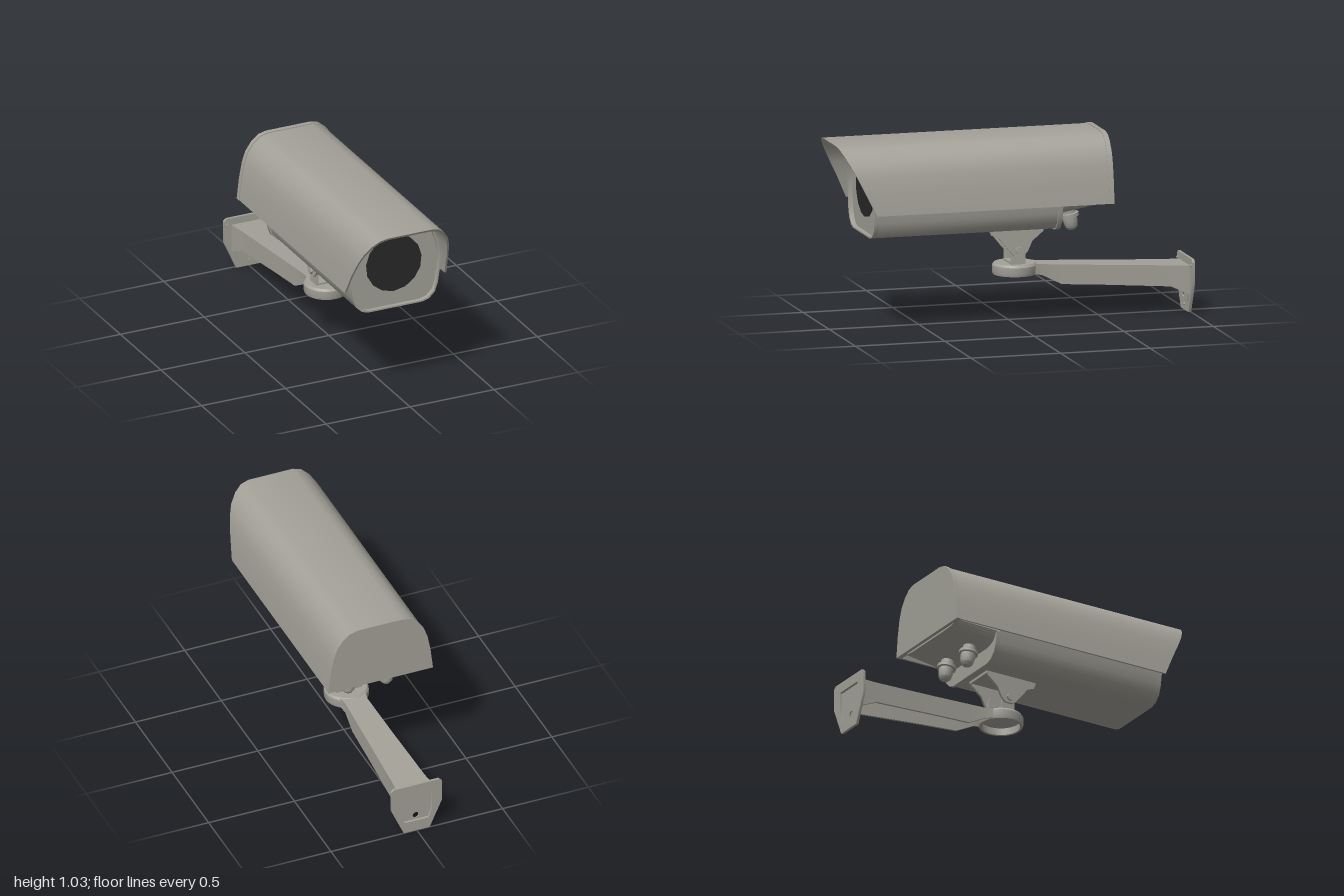
import * as THREE from 'three';
import { toCreasedNormals } from 'three/addons/utils/BufferGeometryUtils.js';

const grey = new THREE.MeshStandardMaterial({ color: 0xa3a198 });
grey.name = 'warm grey';
const dark = new THREE.MeshStandardMaterial({ color: 0x292929 });
dark.name = 'dark glass';

// Half outlines (x, y), from the bottom up; mirrored to make closed shapes
const HOOD = [[0.302, 0.66], [0.288, 0.78], [0.271, 0.87], [0.25, 0.93], [0.215, 0.98], [0.175, 1.012], [0.13, 1.023]];
const BODY = [[0.16, 0.515], [0.2, 0.526], [0.235, 0.56], [0.252, 0.61], [0.26, 0.66], [0.275, 0.76],
  [0.25, 0.87], [0.22, 0.945], [0.19, 0.98], [0.15, 0.99]];

const mirrored = (half) => [...half, ...half.map(([x, y]) => [-x, y]).reverse()];
const scaled = (pts, s, cy) => pts.map(([x, y]) => [x * s, cy + (y - cy) * s]);
const toShape = (pts) => new THREE.Shape(pts.map(([x, y]) => new THREE.Vector2(x, y)));

function reshape(geo, rule) {
  const p = geo.attributes.position;
  const v = new THREE.Vector3();
  for (let i = 0; i < p.count; i++) {
    rule(v.fromBufferAttribute(p, i));
    p.setXYZ(i, v.x, v.y, v.z);
  }
  return geo;
}

// Extrude an (x, y) shape between two z values
function alongZ(shape, z0, z1) {
  return new THREE.ExtrudeGeometry(shape, { depth: z1 - z0, bevelEnabled: false, curveSegments: 6 }).translate(0, 0, z0);
}

// Extrude a (z, y) shape across x, centred on x
function alongX(shape, x, width) {
  return new THREE.ExtrudeGeometry(shape, { depth: width, bevelEnabled: false, curveSegments: 8 })
    .rotateY(-Math.PI / 2).translate(x + width / 2, 0, 0);
}

function hole(x, y, r) {
  const path = new THREE.Path();
  path.absarc(x, y, r, 0, Math.PI * 2, true);
  return path;
}

// Channel open underneath, lofted through [z, top, bottom, halfWidth]
function channel(sections, t) {
  const rings = sections.map(([z, top, bot, w]) => [
    [w, bot, z], [w, top, z], [-w, top, z], [-w, bot, z],
    [-w + t, bot, z], [-w + t, top - t, z], [w - t, top - t, z], [w - t, bot, z],
  ]);
  // front end, then the walls
  const index = [0, 1, 7, 1, 6, 7, 1, 2, 6, 2, 5, 6, 2, 3, 5, 3, 4, 5];
  for (let i = 0; i < rings.length - 1; i++) {
    for (let j = 0; j < 8; j++) {
      const a = i * 8 + j, b = i * 8 + (j + 1) % 8;
      index.push(a, a + 8, b, b, a + 8, b + 8);
    }
  }
  const geo = new THREE.BufferGeometry();
  geo.setAttribute('position', new THREE.Float32BufferAttribute(rings.flat(2), 3));
  geo.setIndex(index);
  return geo;
}

export function createModel() {
  const model = new THREE.Group();
  model.name = 'securityCamera';
  function add(name, geo, mat = grey, crease = 0.6) {
    const mesh = new THREE.Mesh(toCreasedNormals(geo, crease), mat);
    mesh.name = name;
    model.add(mesh);
    return mesh;
  }

  // Sun hood: thin arch with a raked front edge
  const arch = mirrored(HOOD);
  const band = toShape([...arch, ...scaled(arch, 0.965, 0.66).reverse()]);
  add('sunHood', reshape(alongZ(band, -0.48, 0.82), (v) => {
    if (v.z > 0) v.z = 0.82 + Math.max(0, (v.y - 0.675) / 0.348) * 0.18;
  }));

  // Rear cap closing the hood
  add('rearCap', alongZ(toShape(scaled(arch, 1.012, 0.66)), -0.505, -0.478));

  // Housing, front rim and rear flange
  const body = mirrored(BODY);
  add('housing', alongZ(toShape(body), -0.21, 0.795));
  const rim = toShape(body);
  rim.holes.push(toShape(scaled(body, 0.965, 0.755)));
  add('frontRim', alongZ(rim, 0.79, 0.82));
  const lower = mirrored(BODY.slice(0, 5));
  add('rearFlange', alongZ(toShape(scaled(lower, 1.03, 0.68)), -0.23, -0.205));

  // Tapered tray under the rear
  add('rearTray', reshape(alongZ(toShape(lower), -0.485, -0.22), (v) => {
    const k = v.z < -0.3 ? 0.18 : 0.5;
    v.y = 0.68 - (0.68 - v.y) * k;
  }));

  // Lens window
  add('lensWindow', new THREE.CylinderGeometry(0.164, 0.164, 0.008, 15).rotateX(Math.PI / 2).translate(0, 0.768, 0.799), dark);

  // Small screw between hood and housing
  add('hoodScrew', new THREE.BoxGeometry(0.02, 0.03, 0.02).translate(0, 1.0, 0.77));

  // Two cable glands on the tray
  const gland = [[0, -0.105], [0.02, -0.105], [0.034, -0.09], [0.04, -0.06], [0.04, -0.035], [0.052, -0.033],
    [0.052, -0.015], [0.036, -0.013], [0.036, 0.03]].map(([x, y]) => new THREE.Vector2(x, y));
  for (const s of [-1, 1]) {
    const mesh = add('cableGland', new THREE.LatheGeometry(gland, 12));
    mesh.position.set(s * 0.11, 0.6, -0.305);
    mesh.rotation.x = 0.18;
  }

  // Upper yoke: flat plate with two tapering cheeks
  add('yokePlate', new THREE.BoxGeometry(0.17, 0.014, 0.31).translate(0, 0.508, -0.025));
  add('yokeBolt', new THREE.CylinderGeometry(0.015, 0.015, 0.02, 6).translate(0, 0.496, -0.03));
  const cheek = toShape([[0.13, 0.515], [0.12, 0.48], [0.08, 0.465], [0.015, 0.385], [-0.01, 0.36], [-0.06, 0.36],
    [-0.085, 0.385], [-0.11, 0.44], [-0.17, 0.49], [-0.18, 0.515]]);
  const tab = toShape([[0.005, 0.31], [0.005, 0.42], [-0.015, 0.448], [-0.055, 0.448], [-0.075, 0.42], [-0.075, 0.31]]);
  for (const s of [-1, 1]) {
    add('yokeCheek', alongX(cheek, s * 0.081, 0.013));
    add('swivelTab', alongX(tab, s * 0.069, 0.011));
    add('pivotBolt', new THREE.CylinderGeometry(0.02, 0.02, 0.014, 6).rotateZ(Math.PI / 2).translate(s * 0.093, 0.39, -0.035));
    add('pivotNut', new THREE.CylinderGeometry(0.012, 0.012, 0.044, 8).rotateZ(Math.PI / 2).translate(s * 0.079, 0.39, -0.035));
  }
  add('swivelBase', new THREE.BoxGeometry(0.15, 0.012, 0.08).translate(0, 0.317, -0.035));
  add('swivelBolt', new THREE.CylinderGeometry(0.01, 0.01, 0.02, 6).translate(0, 0.325, -0.035));

  // Round arm head, hollow underneath
  const head = [[0, 0.29], [0.105, 0.29], [0.103, 0.25], [0.117, 0.25], [0.121, 0.262], [0.121, 0.3], [0.112, 0.312], [0, 0.312]]
    .map(([x, y]) => new THREE.Vector2(x, y));
  add('armHead', new THREE.LatheGeometry(head, 28).translate(0, 0, -0.035));

  // Wall arm
  add('wallArm', channel([
    [-0.12, 0.309, 0.255, 0.075], [-0.17, 0.304, 0.245, 0.064], [-0.28, 0.298, 0.19, 0.068],
    [-0.5, 0.285, 0.177, 0.077], [-0.88, 0.265, 0.15, 0.094], [-0.99, 0.26, 0.1, 0.105],
  ], 0.012), grey, 0.4);

  // Wall plate, recessed at the back behind the arm
  const plate = toShape([[-0.075, 0], [0.075, 0], [0.148, 0.165], [0.148, 0.285], [0.132, 0.3], [-0.132, 0.3], [-0.148, 0.285], [-0.148, 0.165]]);
  plate.holes.push(toShape([[-0.088, 0.12], [-0.07, 0.065], [0.07, 0.065], [0.088, 0.12], [0.088, 0.245], [-0.088, 0.245]]));
  add('wallPlate', alongZ(plate, -1, -0.985));
  const panel = toShape([[-0.092, 0.12], [-0.075, 0.06], [0.075, 0.06], [0.092, 0.12], [0.092, 0.248], [-0.092, 0.248]]);
  panel.holes.push(hole(0, 0.09, 0.018));
  add('recessPanel', alongZ(panel, -0.985, -0.977));

  // Fixing screws of the wall plate
  for (const [x, y] of [[0, 0.033], [-0.128, 0.265], [0.128, 0.265]]) {
    add('plateScrew', new THREE.CylinderGeometry(0.008, 0.008, 0.008, 8).rotateX(Math.PI / 2).translate(x, y, -0.982));
  }

  return model;
}
